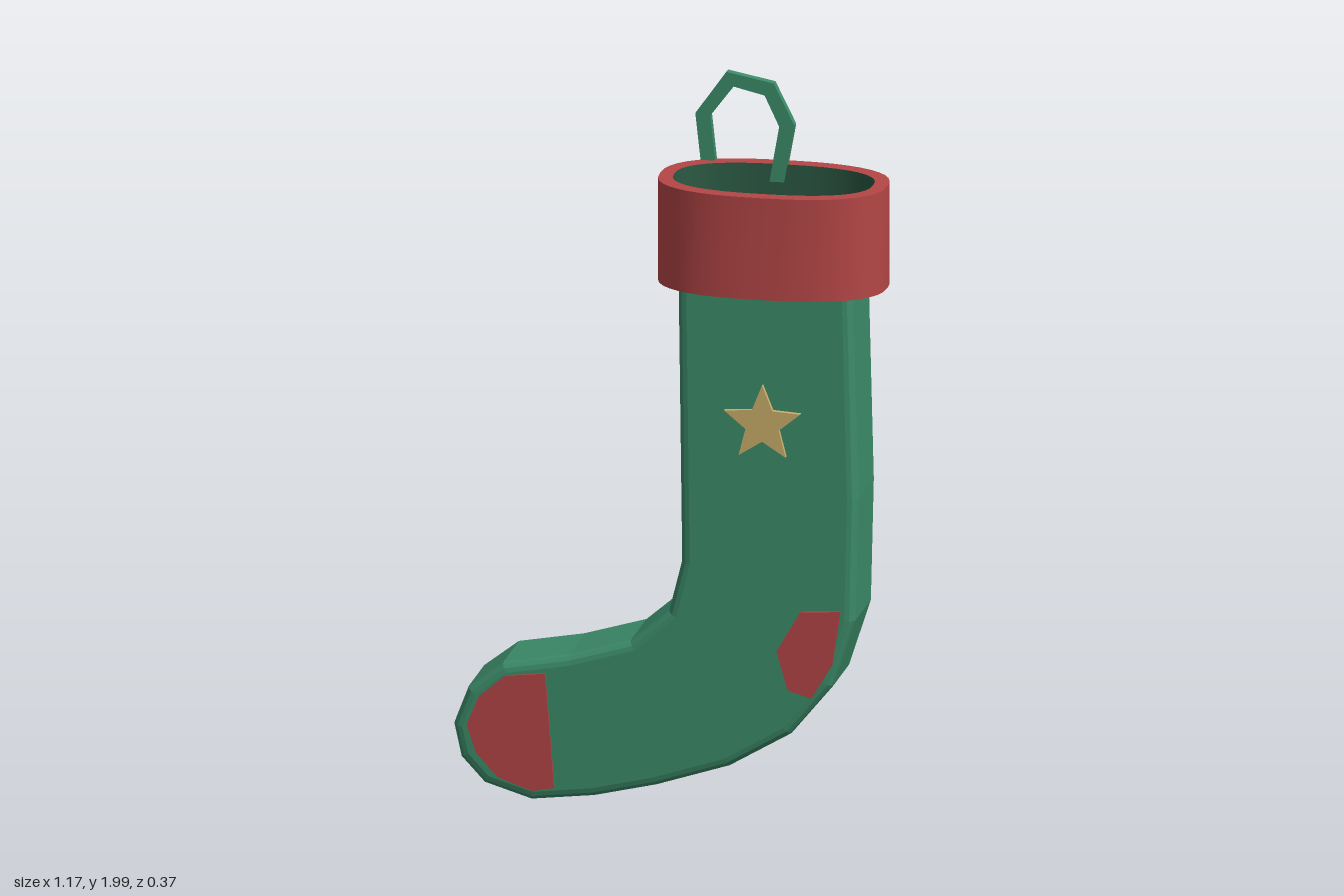
import * as THREE from 'three';

const mat = (name, color, side = THREE.FrontSide) => {
  const m = new THREE.MeshStandardMaterial({ color, side });
  m.name = name;
  return m;
};

const shapeOf = (pts) => new THREE.Shape(pts.map(([x, y]) => new THREE.Vector2(x, y)));

// Flat plate cut from an outline, spanning z0 to z1
function plate(name, pts, z0, z1, material) {
  const g = new THREE.ExtrudeGeometry(shapeOf(pts), { depth: z1 - z0, bevelEnabled: false });
  g.translate(0, 0, z0);
  const mesh = new THREE.Mesh(g, material);
  mesh.name = name;
  return mesh;
}

// Rounded oval seen from above, centred on the leg
const CX = 0.27, SEGMENTS = 40;
function oval(rx, rz) {
  const pts = [];
  for (let i = 0; i < SEGMENTS; i++) {
    const a = (i / SEGMENTS) * Math.PI * 2, c = Math.cos(a), s = Math.sin(a);
    pts.push([CX + rx * Math.sign(c) * Math.abs(c) ** 0.8, rz * Math.sign(s) * Math.abs(s) ** 0.8]);
  }
  return pts;
}

// Smooth vertical oval wall between two heights
function ovalWall(name, rx, rz, y0, y1, material, inward) {
  const ring = oval(rx, rz), pos = [], index = [];
  for (const y of [y0, y1]) for (const [x, z] of ring) pos.push(x, y, z);
  for (let i = 0; i < SEGMENTS; i++) {
    const j = (i + 1) % SEGMENTS, a = i, b = j, c = SEGMENTS + i, d = SEGMENTS + j;
    if (inward) index.push(a, b, c, b, d, c);
    else index.push(a, c, b, b, c, d);
  }
  const g = new THREE.BufferGeometry();
  g.setAttribute('position', new THREE.Float32BufferAttribute(pos, 3));
  g.setIndex(index);
  g.computeVertexNormals();
  const mesh = new THREE.Mesh(g, material);
  mesh.name = name;
  return mesh;
}

// Horizontal oval face, with an optional oval hole
function ovalFace(name, outer, inner, y, material, up) {
  const s = shapeOf(outer);
  if (inner) s.holes.push(new THREE.Path(inner.map(([x, z]) => new THREE.Vector2(x, z))));
  const g = new THREE.ShapeGeometry(s);
  g.rotateX(up ? -Math.PI / 2 : Math.PI / 2);
  g.translate(0, y, 0);
  const mesh = new THREE.Mesh(g, material);
  mesh.name = name;
  return mesh;
}

export function createModel() {
  const green = mat('green felt', 0x3c8c6a);
  const red = mat('red felt', 0xb54646);
  const dark = mat('dark green lining', 0x2c5a44);
  const gold = mat('gold', 0xcbae69);
  const model = new THREE.Group();
  model.name = 'stocking';

  // Leg and foot with softly rounded edges
  const outline = [
    [0.03, 1.5], [0.04, 0.7], [0.005, 0.56], [-0.1, 0.47], [-0.27, 0.42], [-0.45, 0.388],
    [-0.545, 0.315], [-0.585, 0.21], [-0.565, 0.12], [-0.5, 0.05], [-0.37, 0.01], [-0.2, 0.03],
    [-0.03, 0.07], [0.17, 0.135], [0.34, 0.235], [0.455, 0.375], [0.515, 0.56], [0.523, 0.9], [0.508, 1.5],
  ].reverse();
  const r = 0.026;
  const sockGeo = new THREE.ExtrudeGeometry(shapeOf(outline), {
    depth: 0.256 - 2 * r, bevelSize: r, bevelThickness: r, bevelOffset: -r, bevelSegments: 3,
  });
  sockGeo.translate(0, 0, -0.128 + r);
  const sock = new THREE.Mesh(sockGeo, green);
  sock.name = 'sock';
  model.add(sock);

  // Cuff: outer wall, rim, underside and lining
  const top = 1.75, bottom = 1.465, floor = 1.505;
  const outer = oval(0.312, 0.187), inner = oval(0.273, 0.146);
  const cuff = new THREE.Group();
  cuff.name = 'cuff';
  cuff.add(
    ovalWall('cuffWall', 0.312, 0.187, bottom, top, red, false),
    ovalFace('cuffRim', outer, inner, top, red, true),
    ovalFace('cuffUnderside', outer, null, bottom, red, false),
    ovalWall('cuffLining', 0.273, 0.146, floor, top, dark, true),
    ovalFace('liningFloor', inner, null, floor, dark, true),
  );
  model.add(cuff);

  // Hanging loop at the back of the rim
  model.add(plate('hangingLoop', [
    [0.045, 1.7], [0.025, 1.88], [0.11, 2.0], [0.24, 1.975], [0.297, 1.86], [0.268, 1.7],
    [0.228, 1.7], [0.255, 1.855], [0.215, 1.94], [0.13, 1.96], [0.066, 1.875], [0.085, 1.7],
  ], -0.167, -0.143, green));

  // Toe and heel patches
  model.add(plate('toePatch', [
    [-0.33, 0.37], [-0.44, 0.358], [-0.512, 0.295], [-0.545, 0.215], [-0.52, 0.14],
    [-0.46, 0.073], [-0.365, 0.04], [-0.305, 0.052],
  ], 0.127, 0.134, red));
  model.add(plate('heelPatch', [
    [0.37, 0.583], [0.305, 0.47], [0.335, 0.363], [0.4, 0.343], [0.457, 0.44], [0.48, 0.59],
  ], 0.127, 0.134, red));

  // Five-pointed star
  const star = [];
  for (let i = 0; i < 10; i++) {
    const a = Math.PI / 2 + (i * Math.PI) / 5, rad = i % 2 ? 0.048 : 0.11;
    star.push([0.267 + rad * Math.cos(a), 1.104 + rad * Math.sin(a)]);
  }
  model.add(plate('star', star, 0.127, 0.142, gold));
  return model;
}
